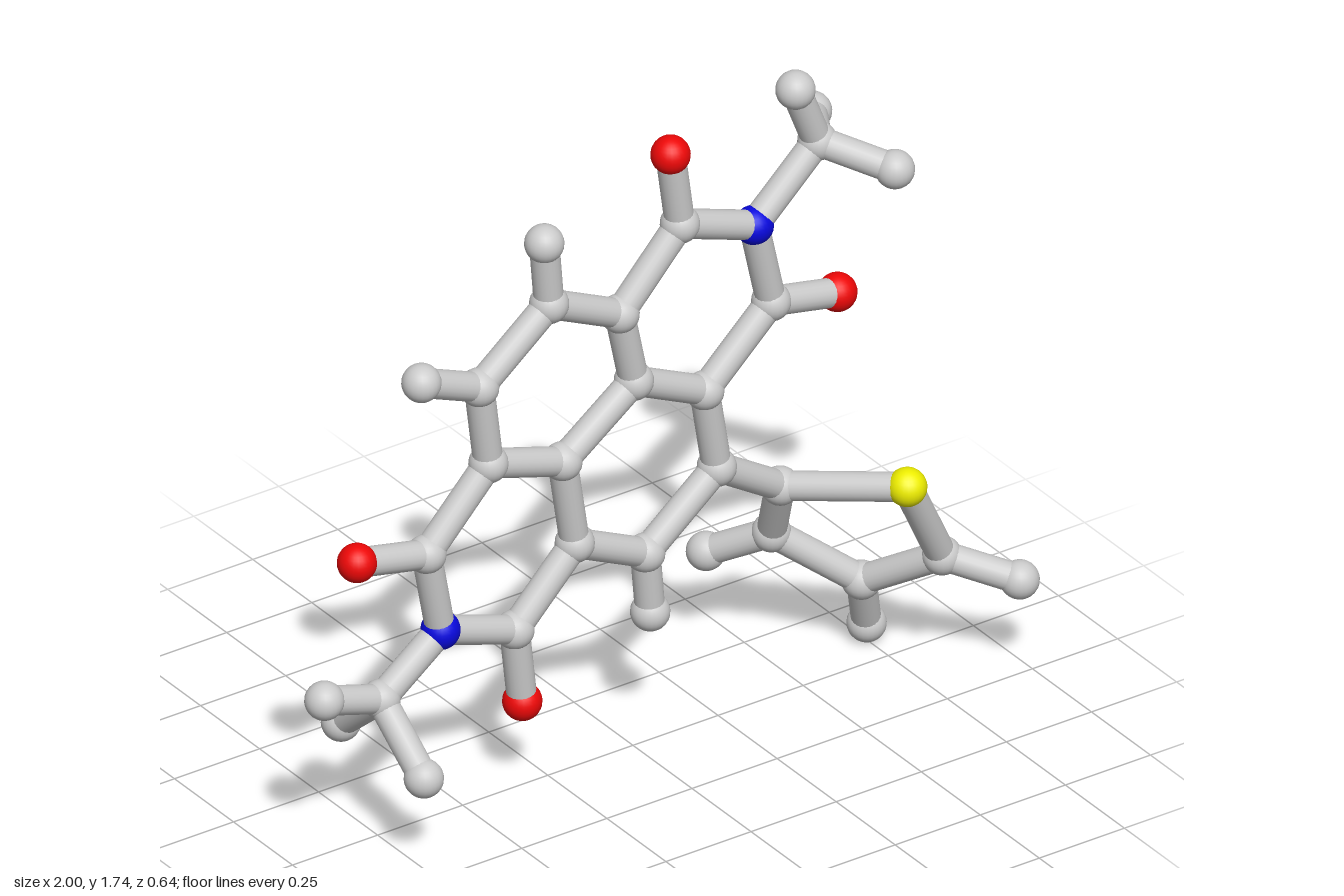
import * as THREE from 'three';

const ATOM_R = 0.049, BOND_R = 0.037;
const COLORS = { C: 0xcccccc, H: 0xcccccc, O: 0xee0808, N: 0x0808dd, S: 0xeeee00 };
const NAMES = { C: 'carbonAtom', H: 'hydrogenAtom', O: 'oxygenAtom', N: 'nitrogenAtom', S: 'sulfurAtom' };

// The fused rings lie in one slightly tilted plane
const planeZ = (x, y) => 0.036 - 0.064 * (x + 0.131) + 0.04 * (y - 0.957);

// Atoms by label (first letter is the element): x, y and, when off the plane, z
const CORE = {
  C1: [-0.5, 1.21], C2: [-0.29, 1.37], C3: [-0.07, 1.26], C4: [0.11, 1.45],
  N1: [0.34, 1.36], C5: [0.4, 1.12], C6: [0.2, 0.94], C7: [-0.02, 1.05],
  C8: [-0.235, 0.9], C9: [-0.465, 0.98], C10: [-0.65, 0.79], N2: [-0.6, 0.555],
  C11: [-0.37, 0.47], C12: [-0.19, 0.65], C13: [0.03, 0.54], C14: [0.245, 0.705],
  O1: [0.075, 1.66], O2: [0.605, 1.07], O3: [-0.865, 0.845], O4: [-0.34, 0.255],
  H1: [-0.68, 1.29], H2: [-0.31, 1.55], H3: [0.05, 0.365],
};
const METHYLS = {
  C15: [0.53, 1.53], H4: [0.46, 1.7, 0.025], H5: [0.655, 1.48, 0.165], H6: [0.63, 1.5, -0.15],
  C16: [-0.78, 0.425], H7: [-0.955, 0.485], H8: [-0.76, 0.27, 0.21], H9: [-0.785, 0.285, -0.105],
};
const SIDE_RING = {
  C17: [0.455, 0.565, -0.033], S1: [0.66, 0.61, 0.21], C18: [0.8, 0.345, 0.155],
  C19: [0.695, 0.22, -0.035], C20: [0.5, 0.37, -0.135],
  H10: [0.95, 0.282, 0.268], H11: [0.75, 0.055, -0.092], H12: [0.405, 0.282, -0.275],
};

// Bonds as chains of labels
const CHAINS = [
  'C1 C2 C3 C4 N1 C5 C6 C14 C13 C12 C11 N2 C10 C9 C1', // outer outline
  'C3 C7 C6', 'C9 C8 C12', 'C7 C8', // inner ring edges
  'C4 O1', 'C5 O2', 'C10 O3', 'C11 O4', 'C1 H1', 'C2 H2', 'C13 H3',
  'N1 C15 H4', 'H5 C15 H6', 'N2 C16 H7', 'H8 C16 H9', // methyl groups
  'C14 C17 S1 C18 C19 C20 C17', 'C18 H10', 'C19 H11', 'C20 H12', // side ring
];

export function createModel() {
  const model = new THREE.Group();
  model.name = 'molecule';
  const materials = {};
  for (const e in COLORS) materials[e] = new THREE.MeshStandardMaterial({ color: COLORS[e] });
  const ball = new THREE.SphereGeometry(ATOM_R, 24, 16);
  const rod = new THREE.CylinderGeometry(BOND_R, BOND_R, 1, 20, 1, true);
  const at = {}, groupOf = {};

  // Atoms
  const parts = { fusedRings: CORE, methylGroups: METHYLS, sideRing: SIDE_RING };
  for (const [name, atoms] of Object.entries(parts)) {
    const group = new THREE.Group();
    group.name = name;
    model.add(group);
    for (const [label, [x, y, z = planeZ(x, y)]] of Object.entries(atoms)) {
      const atom = new THREE.Mesh(ball, materials[label[0]]);
      atom.name = NAMES[label[0]];
      atom.position.set(x, y, z);
      group.add(atom);
      at[label] = atom.position;
      groupOf[label] = group;
    }
  }

  // Bonds: one rod between each pair of neighbours in a chain
  const up = new THREE.Vector3(0, 1, 0);
  for (const chain of CHAINS) {
    const labels = chain.split(' ');
    for (let i = 1; i < labels.length; i++) {
      const a = at[labels[i - 1]], b = at[labels[i]];
      const dir = b.clone().sub(a);
      const bond = new THREE.Mesh(rod, materials.C);
      bond.name = 'bond';
      bond.position.copy(a).add(b).multiplyScalar(0.5);
      bond.scale.y = dir.length();
      bond.quaternion.setFromUnitVectors(up, dir.normalize());
      groupOf[labels[i]].add(bond);
    }
  }
  return model;
}
